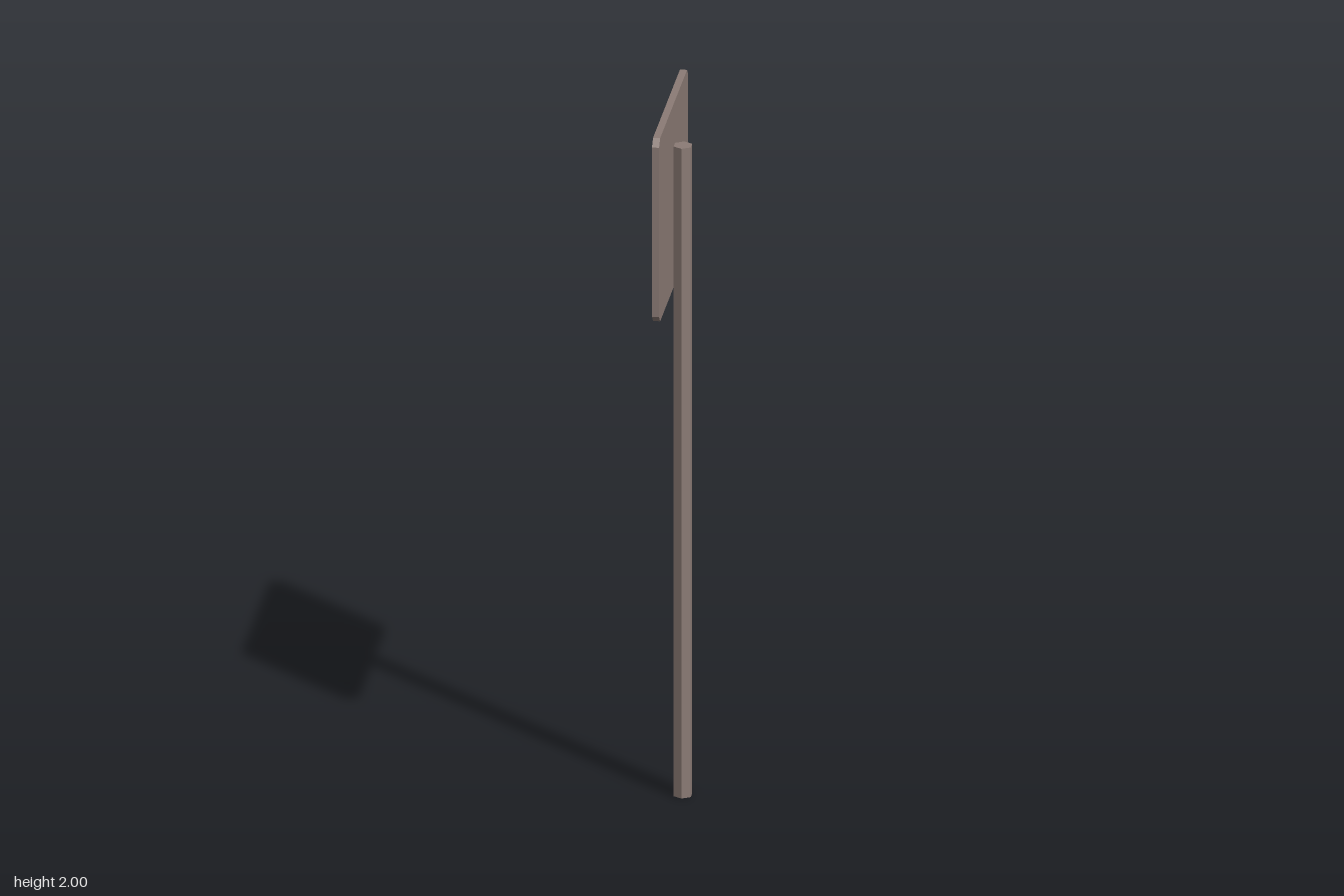
import * as THREE from 'three';

const mat = (name, color) => {
  const m = new THREE.MeshStandardMaterial({ color });
  m.name = name;
  return m;
};

// Outline from [z, y] pairs
const outline = (pts) => new THREE.Shape(pts.map(([z, y]) => new THREE.Vector2(z, y)));

export function createModel() {
  const group = new THREE.Group();
  const metal = mat('warm grey metal', 0x8b7b75);
  const brown = mat('brown sign face', 0x823311);
  const pale = mat('pale grey symbol', 0xd4d4d4);

  const add = (name, geometry, material, x = 0, y = 0, z = 0) => {
    const mesh = new THREE.Mesh(geometry, material);
    mesh.name = name;
    mesh.position.set(x, y, z);
    group.add(mesh);
    return mesh;
  };
  // Flat shapes are turned so that they face -x, with shape x running along +z
  const addFace = (name, shape, material, x) =>
    add(name, new THREE.ShapeGeometry(shape), material, x).rotation.y = -Math.PI / 2;

  // Hexagonal pole
  const poleGeo = new THREE.CylinderGeometry(0.0268, 0.0268, 1.88, 6).toNonIndexed();
  poleGeo.computeVertexNormals();
  add('pole', poleGeo, metal, 0.01, 0.94, -0.006);

  // Square panel with clipped corners
  const w = 0.265, c = 0.02, lo = 1.47, hi = 2;
  const panel = outline([
    [-w + c, lo], [w - c, lo], [w, lo + c], [w, hi - c],
    [w - c, hi], [-w + c, hi], [-w, hi - c], [-w, lo + c],
  ]);
  const panelGeo = new THREE.ExtrudeGeometry(panel, { depth: 0.0193, bevelEnabled: false });
  add('signPanel', panelGeo, metal, -0.0142).rotation.y = -Math.PI / 2;
  addFace('signFace', panel, brown, -0.0339);

  // Fuel pump symbol: flared base, body and window frame
  const pump = outline([
    [-0.18, 1.525], [0.18, 1.525], [0.18, 1.55], [0.15, 1.562], [0.095, 1.57],
    [0.095, 1.90], [0.08, 1.932], [0.055, 1.942], [-0.06, 1.942], [-0.085, 1.932],
    [-0.097, 1.90], [-0.097, 1.57], [-0.15, 1.562], [-0.18, 1.55],
  ]);
  pump.holes.push(outline([
    [-0.078, 1.845], [-0.078, 1.905], [-0.06, 1.925],
    [0.055, 1.925], [0.077, 1.905], [0.077, 1.845],
  ]));
  addFace('pumpSymbol', pump, pale, -0.0344);

  // Hose of the symbol, a thin strip down the right side
  const path = [[0.09, 1.925], [0.112, 1.90], [0.128, 1.85], [0.128, 1.66], [0.112, 1.625], [0.112, 1.60], [0.15, 1.585]];
  const t = 0.005;
  const hose = outline([
    ...path.map(([z, y]) => [z - t, y - t]),
    ...path.slice().reverse().map(([z, y]) => [z + t, y + t]),
  ]);
  addFace('hoseSymbol', hose, pale, -0.0346);

  return group;
}
